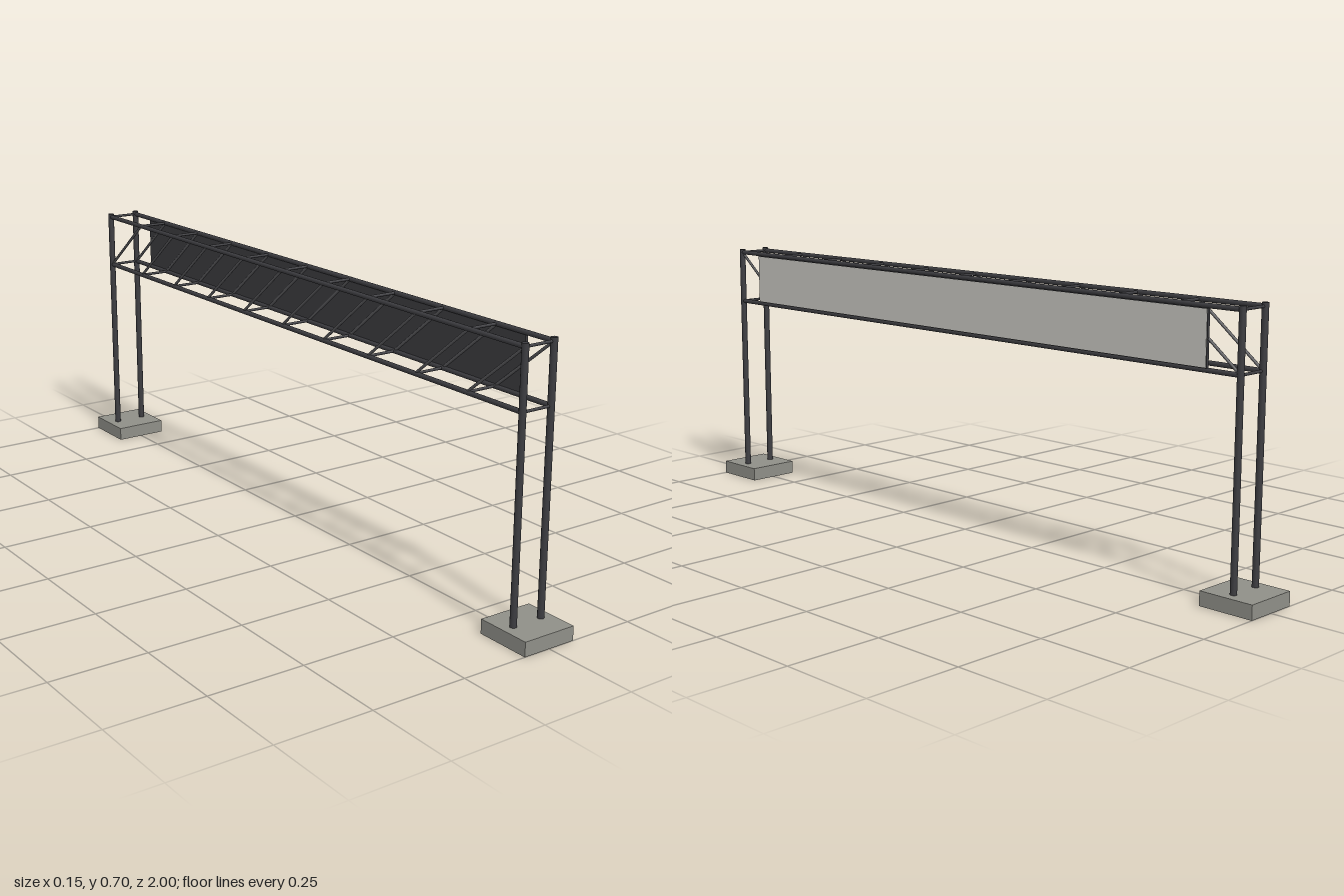
import * as THREE from 'three';

export function createModel() {
  const root = new THREE.Group();
  root.name = 'signGantry';

  const material = (name, color) => {
    const m = new THREE.MeshStandardMaterial({ color });
    m.name = name;
    return m;
  };
  const steel = material('dark steel', 0x3c3c40);
  const brace = material('brace steel', 0x58585b);
  const concrete = material('concrete', 0x8f8f88);
  const face = material('sign face', 0xc8c7c1);

  const add = (name, geometry, mat, x, y, z) => {
    const mesh = new THREE.Mesh(geometry, mat);
    mesh.name = name;
    mesh.position.set(x, y, z);
    root.add(mesh);
    return mesh;
  };

  // Round tube between two points
  const UP = new THREE.Vector3(0, 1, 0);
  const rod = (name, a, b, radius, mat, sides = 12) => {
    const from = new THREE.Vector3(...a);
    const dir = new THREE.Vector3(...b).sub(from);
    const geometry = new THREE.CylinderGeometry(radius, radius, dir.length(), sides);
    const mid = from.addScaledVector(dir, 0.5);
    const mesh = add(name, geometry, mat, mid.x, mid.y, mid.z);
    mesh.quaternion.setFromUnitVectors(UP, dir.normalize());
  };

  const X = 0.0425, END = 0.925, LOW = 0.547, HIGH = 0.695;
  const BAYS = 10, STEP = (2 * END) / BAYS;

  // Footings and legs
  for (const s of [-1, 1]) {
    add('footing', new THREE.BoxGeometry(0.148, 0.037, 0.148), concrete, 0, 0.0185, s * 0.926);
    for (const x of [-X, X]) {
      rod('leg', [x, 0.03, s * END], [x, 0.704, s * END], 0.0085, steel, 16);
    }
  }

  // Long chords
  for (const x of [-X, X]) {
    for (const y of [LOW, HIGH]) {
      rod('chord', [x, y, -END], [x, y, END], 0.0062, steel);
    }
  }

  // Cross members at every bay line, top and bottom
  for (let i = 0; i <= BAYS; i++) {
    const z = -END + i * STEP;
    for (const y of [LOW, HIGH]) {
      rod('crossMember', [-X, y, z], [X, y, z], 0.0038, steel, 8);
    }
  }

  // Diagonals on both sides, all leaning the same way
  for (let i = 0; i < BAYS; i++) {
    const z = -END + i * STEP;
    for (const x of [-X, X]) {
      rod('diagonal', [x, LOW, z], [x, HIGH, z + STEP], 0.0038, brace, 8);
    }
  }

  // Sign panel: dark backing with a pale face on the left side
  add('signBacking', new THREE.BoxGeometry(0.008, 0.137, 1.67), steel, 0.0458, 0.621, 0);
  add('signFace', new THREE.BoxGeometry(0.001, 0.135, 1.666), face, 0.0502, 0.621, 0);

  return root;
}
